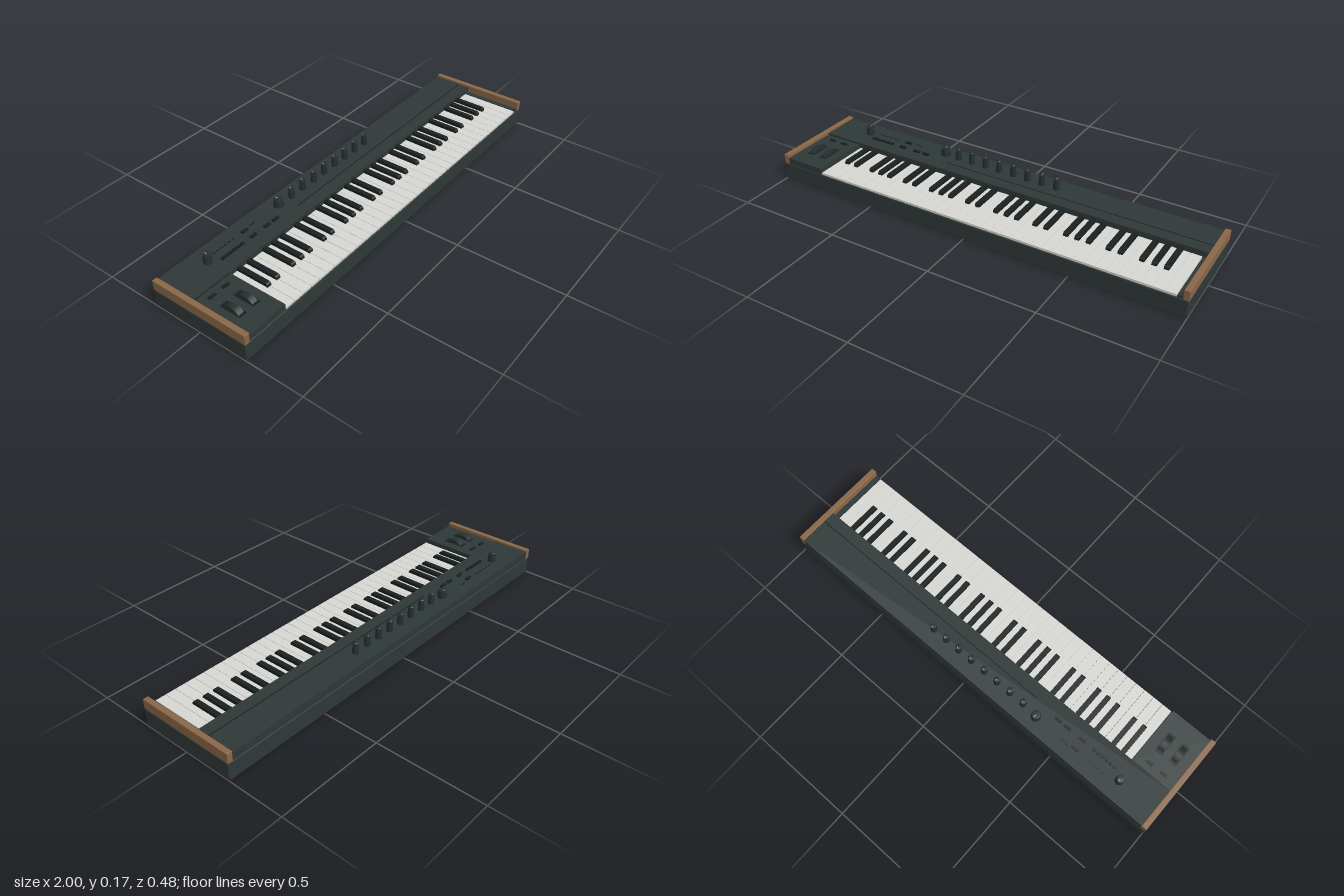
import * as THREE from 'three';
import { RoundedBoxGeometry } from 'three/addons/geometries/RoundedBoxGeometry.js';

const mat = (name, color) => {
  const m = new THREE.MeshStandardMaterial({ color });
  m.name = name;
  return m;
};

export function createModel() {
  const root = new THREE.Group();
  root.name = 'keyboardInstrument';
  const shell = mat('charcoal', 0x2e3837);
  const dark = mat('nearBlack', 0x1a2020);
  const knobMat = mat('knobBlack', 0x262e2e);
  const wood = mat('wood', 0x896647);
  const ivory = mat('ivory', 0xd6d6d2);
  const light = mat('paleMark', 0xb8bcba);

  const add = (name, geo, m, x, y, z, parent = root) => {
    const mesh = new THREE.Mesh(geo, m);
    mesh.name = name;
    mesh.position.set(x, y, z);
    parent.add(mesh);
    return mesh;
  };
  // Box given by its limits on each axis
  const box = (name, m, x0, x1, y0, y1, z0, z1, parent = root) =>
    add(name, new THREE.BoxGeometry(x1 - x0, y1 - y0, z1 - z0), m,
      (x0 + x1) / 2, (y0 + y1) / 2, (z0 + z1) / 2, parent);
  const group = (name) => {
    const g = new THREE.Group();
    g.name = name;
    root.add(g);
    return g;
  };

  // Lower case and wooden cheeks
  add('lowerCase', new RoundedBoxGeometry(2, 0.083, 0.476, 2, 0.006), shell, 0, 0.0415, 0);
  for (const s of [-1, 1])
    add('woodCheek', new RoundedBoxGeometry(0.025, 0.046, 0.476, 1, 0.002), wood, s * 0.9875, 0.105, 0);

  // Control panel, left wheel block and right key block
  box('controlPanel', shell, -0.975, 0.975, 0.082, 0.119, -0.236, -0.048);
  box('panelGroove', dark, -0.31, 0.972, 0.118, 0.1195, -0.108, -0.103);
  box('wheelBlock', shell, -0.975, -0.78, 0.08, 0.112, -0.048, 0.235);
  box('blockSeam', dark, -0.975, -0.78, 0.111, 0.1125, -0.048, -0.044);
  box('keyEndBlock', shell, 0.951, 0.975, 0.08, 0.094, -0.048, 0.235);

  // 36 white keys
  const keys = group('keys');
  const start = -0.776, pitch = 0.0479, gap = 0.0016;
  for (let i = 0; i < 36; i++) {
    const x = start + i * pitch;
    box('whiteKey', ivory, x + gap / 2, x + pitch - gap / 2, 0.081, 0.093, -0.048, 0.234, keys);
  }

  // 25 black keys with a sloped front
  const side = new THREE.Shape();
  side.moveTo(-0.048, 0.088);
  side.lineTo(0.112, 0.088);
  side.lineTo(0.108, 0.103);
  side.lineTo(0.102, 0.108);
  side.lineTo(-0.048, 0.108);
  side.closePath();
  const blackGeo = new THREE.ExtrudeGeometry(side, { depth: 0.022, bevelEnabled: false });
  blackGeo.translate(0, 0, -0.011);
  blackGeo.rotateY(-Math.PI / 2);
  for (let octave = 0; octave < 5; octave++)
    for (const offset of [0.97, 2.05, 3.97, 5.05, 6.12])
      add('blackKey', blackGeo, dark, start + (octave * 7 + offset) * pitch, 0, 0, keys);

  // Pitch and modulation wheels in their slots, with a button behind each
  const wheelGeo = new THREE.CylinderGeometry(0.055, 0.055, 0.028, 40);
  wheelGeo.rotateZ(Math.PI / 2);
  for (const x of [-0.914, -0.842]) {
    box('wheelSlot', dark, x - 0.019, x + 0.019, 0.111, 0.113, 0.05, 0.152);
    add('wheel', wheelGeo, knobMat, x, 0.075, 0.101);
    box('wheelButton', dark, x - 0.017, x + 0.017, 0.111, 0.117, -0.015, -0.001);
  }

  // Knobs: a skirted, slightly tapered turned profile
  const knobs = group('knobs');
  const knob = (name, x, z, r, top) => {
    const h = top - 0.118;
    const profile = [[r, 0], [r, h * 0.45], [r * 0.93, h * 0.5], [r * 0.88, h * 0.95], [r * 0.8, h], [0, h]];
    const geo = new THREE.LatheGeometry(profile.map(([a, b]) => new THREE.Vector2(a, b)), 24);
    add(name, geo, knobMat, x, 0.118, z, knobs);
    box('knobMark', light, x - 0.0015, x + 0.0015, top, top + 0.0006, z - r * 0.7, z - r * 0.1, knobs);
  };
  knob('volumeKnob', -0.792, -0.152, 0.019, 0.16);
  knob('selectorKnob', -0.358, -0.171, 0.022, 0.156);
  for (let i = 0; i < 8; i++) knob('controlKnob', -0.281 + i * 0.0735, -0.165, 0.0145, 0.168);

  // Small buttons in two rows
  const buttons = group('buttons');
  const button = (x, z, w, d) =>
    box('button', dark, x - w / 2, x + w / 2, 0.118, 0.127, z - d / 2, z + d / 2, buttons);
  for (let i = 0; i < 6; i++) {
    button(-0.742 + i * 0.0215, -0.118, 0.015, 0.012);
    box('indicator', dark, -0.748 + i * 0.0215, -0.736 + i * 0.0215, 0.118, 0.1205, -0.173, -0.166, buttons);
  }
  for (const x of [-0.57, -0.489, -0.438]) button(x, -0.118, 0.033, 0.013);
  button(-0.57, -0.167, 0.033, 0.013);
  box('indicator', dark, -0.535, -0.5, 0.118, 0.1205, -0.178, -0.173, buttons);

  return root;
}
